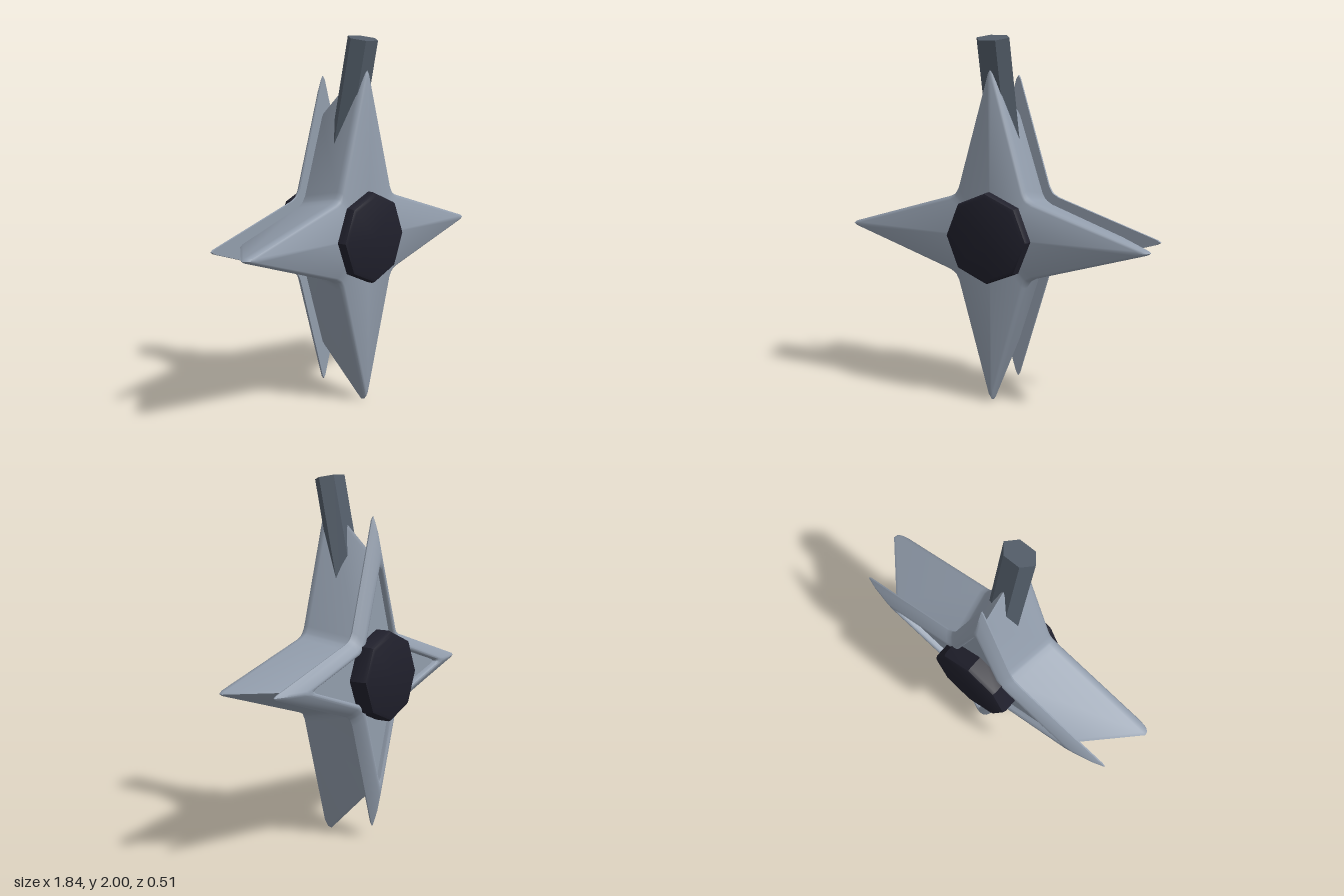
import * as THREE from 'three';
import { toCreasedNormals } from 'three/addons/utils/BufferGeometryUtils.js';

const CENTRE_Y = 0.92;

// Four-pointed star outline: blunt tips at distance t, filleted valleys at (v, v)
function starOutline(t, v) {
  const slope = v / (t - v);
  const b = 0.045; // fillet reach
  const arm = [
    [t - 0.018, -0.012], [t, 0], [t - 0.018, 0.012],
    [v + b, v - b * slope], [v + 0.014, v + 0.003], [v + 0.003, v + 0.014], [v - b * slope, v + b],
  ];
  const points = [];
  for (let k = 0; k < 4; k++) {
    const c = Math.round(Math.cos(k * Math.PI / 2)), s = Math.round(Math.sin(k * Math.PI / 2));
    for (const [x, y] of arm) points.push([x * c - y * s, x * s + y * c]);
  }
  return points;
}

// Loft star sections [tip, valley, z] from front to back, closed at both ends
function starLoft(sections) {
  const rings = sections.map(([t, v, z]) => starOutline(t, v).map(([x, y]) => [x, y, z]));
  const cap = (ring) => ring.map((p) => [0, 0, p[2]]);
  rings.unshift(cap(rings[0]));
  rings.push(cap(rings[rings.length - 1]));
  const pos = [];
  for (let i = 0; i < rings.length - 1; i++) {
    const A = rings[i], B = rings[i + 1], n = A.length;
    for (let j = 0; j < n; j++) {
      const k = (j + 1) % n;
      if (i > 0) pos.push(...A[j], ...B[j], ...A[k]);
      if (i < rings.length - 2) pos.push(...A[k], ...B[j], ...B[k]);
    }
  }
  const g = new THREE.BufferGeometry();
  g.setAttribute('position', new THREE.Float32BufferAttribute(pos, 3));
  return toCreasedNormals(g, 0.7);
}

// Octagonal hub with softened rims, running from z0 to z1
function hubGeometry(z0, z1) {
  const r = 0.25, b = 0.025;
  const profile = [
    [0, z0], [r - b, z0], [r - b * 0.3, z0 + b * 0.3], [r, z0 + b],
    [r, z1 - b], [r - b * 0.3, z1 - b * 0.3], [r - b, z1], [0, z1],
  ].map(([x, y]) => new THREE.Vector2(x, y));
  const g = new THREE.LatheGeometry(profile, 8).rotateX(Math.PI / 2).toNonIndexed();
  return toCreasedNormals(g, 0.6);
}

export function createModel() {
  const model = new THREE.Group();
  const steel = new THREE.MeshStandardMaterial({ name: 'blue grey steel', color: 0x929dac });
  const dark = new THREE.MeshStandardMaterial({ name: 'near black', color: 0x20202c });
  const slate = new THREE.MeshStandardMaterial({ name: 'dark slate', color: 0x535d69 });
  const add = (name, geometry, material, y = CENTRE_Y) => {
    const mesh = new THREE.Mesh(geometry, material);
    mesh.name = name;
    mesh.position.y = y;
    model.add(mesh);
    return mesh;
  };

  // Deep star body, its tips raked back toward the rear plate
  add('starBody', starLoft([
    [0.865, 0.203, 0.2], [0.895, 0.211, 0.193], [0.915, 0.217, 0.178], [0.92, 0.219, 0.155],
    [0.65, 0.168, -0.125],
  ]), steel);

  // Rear star plate: bevelled rim around a recessed star panel
  add('rearPlate', starLoft([
    [0.855, 0.208, -0.12], [0.86, 0.21, -0.128], [0.79, 0.196, -0.152], [0.68, 0.172, -0.176],
    [0.645, 0.163, -0.182], [0.615, 0.155, -0.18], [0.595, 0.149, -0.172], [0.59, 0.147, -0.15],
  ]), steel);

  // Hubs on both faces
  add('frontHub', hubGeometry(0.1, 0.255), dark);
  add('rearHub', hubGeometry(-0.255, -0.1), dark);

  // Flattened hexagonal rod leaning forward out of the upper arm
  const length = 0.75, tilt = 0.205;
  const rodGeometry = new THREE.CylinderGeometry(0.1, 0.1, length, 6)
    .rotateY(Math.PI / 6).scale(1, 1, 0.74).translate(0, -length / 2, 0).toNonIndexed();
  rodGeometry.computeVertexNormals();
  const rod = add('rod', rodGeometry, slate, 1.987);
  rod.position.z = 0.16;
  rod.rotation.x = tilt;

  return model;
}
